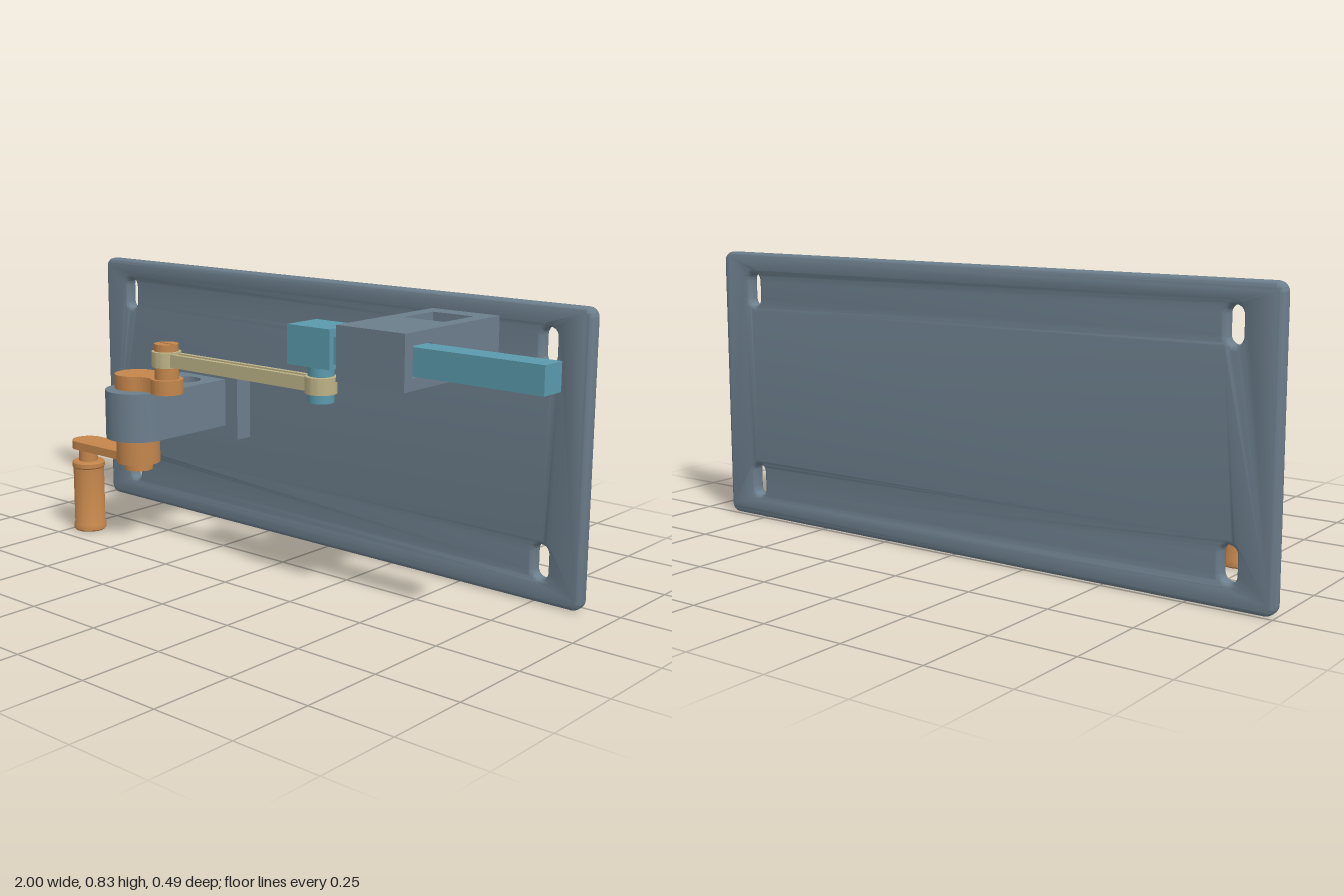
import * as THREE from 'three';
import { toCreasedNormals } from 'three/addons/utils/BufferGeometryUtils.js';

const mat = (color) => new THREE.MeshStandardMaterial({ color });
const steel = mat(0x6c7e8c), teal = mat(0x5a9aac), bronze = mat(0xc4864c), brass = mat(0xbdb287);

const AXIS_Z = 0.15;            // depth of the moving mechanism
const MAIN_X = -0.47, PIN_X = -0.335, WRIST_X = 0.275, GRIP_X = -0.71;

export function createModel() {
  const model = new THREE.Group();

  const add = (name, geometry, material) => {
    const mesh = new THREE.Mesh(geometry, material);
    mesh.name = name;
    model.add(mesh);
    return mesh;
  };
  const box = (name, [x0, x1], [y0, y1], [z0, z1], material) => add(name,
    new THREE.BoxGeometry(x1 - x0, y1 - y0, z1 - z0)
      .translate((x0 + x1) / 2, (y0 + y1) / 2, (z0 + z1) / 2), material);
  const rod = (name, x, y0, y1, r, material) => add(name,
    new THREE.CylinderGeometry(r, r, y1 - y0, 40).translate(x, (y0 + y1) / 2, AXIS_Z), material);
  const extrude = (shape, depth, extra = {}) => new THREE.ExtrudeGeometry(shape,
    { depth, bevelEnabled: false, curveSegments: 20, ...extra });
  // Outline drawn in x and z, raised from y0 to y1
  const flat = (name, shape, y0, y1, material) => add(name,
    toCreasedNormals(extrude(shape, y1 - y0).rotateX(Math.PI / 2).translate(0, y1, 0), 0.6), material);

  const rect = (x0, x1, y0, y1, Type = THREE.Shape) => {
    const s = new Type();
    s.moveTo(x0, y0).lineTo(x1, y0).lineTo(x1, y1).lineTo(x0, y1).closePath();
    return s;
  };
  // Two round ends joined by tangents, or by a narrowed waist
  const link = (xa, ra, xb, rb, waist) => {
    const a = waist ? 0.75 : Math.acos((ra - rb) / (xb - xa));
    const b = waist ? Math.PI - 0.75 : a;
    const s = new THREE.Shape();
    s.absarc(xa, AXIS_Z, ra, a, 2 * Math.PI - a, false);
    if (waist) {
      s.quadraticCurveTo((xa + xb) / 2, AXIS_Z - waist,
        xb + rb * Math.cos(b), AXIS_Z - rb * Math.sin(b));
    }
    s.absarc(xb, AXIS_Z, rb, -b, b, false);
    if (waist) {
      s.quadraticCurveTo((xa + xb) / 2, AXIS_Z + waist,
        xa + ra * Math.cos(a), AXIS_Z + ra * Math.sin(a));
    }
    return s;
  };

  // Back plate with rounded edges and four mounting slots
  const e = 0.014, x0 = -1 + e, x1 = 0.9 - e, y0 = e, y1 = 0.835 - e, r = 0.015;
  const plate = new THREE.Shape();
  plate.absarc(x1 - r, y0 + r, r, -Math.PI / 2, 0, false);
  plate.absarc(x1 - r, y1 - r, r, 0, Math.PI / 2, false);
  plate.absarc(x0 + r, y1 - r, r, Math.PI / 2, Math.PI, false);
  plate.absarc(x0 + r, y0 + r, r, Math.PI, Math.PI * 1.5, false);
  for (const x of [-0.872, 0.772]) {
    for (const y of [0.118, 0.722]) {
      const slot = new THREE.Path(), sr = 0.023 + e;
      slot.absarc(x, y + 0.027, sr, 0, Math.PI, false);
      slot.absarc(x, y - 0.027, sr, Math.PI, Math.PI * 2, false);
      slot.closePath();
      plate.holes.push(slot);
    }
  }
  // Slots are drawn oversize because the bevel closes them in again
  const plateGeometry = extrude(plate, 0.046 - 2 * e, {
    bevelEnabled: true, bevelThickness: e, bevelSize: e, bevelSegments: 4, curveSegments: 8,
  });
  add('backPlate', toCreasedNormals(plateGeometry.translate(0, 0, -0.246 + e), 0.6), steel);

  // Crank bearing: foot and round-nosed arm with a vertical hole
  box('bearingFoot', [-0.62, -0.32], [0.305, 0.535], [-0.205, -0.14], steel);
  const arm = new THREE.Shape();
  arm.moveTo(MAIN_X - 0.098, -0.145).lineTo(MAIN_X + 0.098, -0.145);
  arm.lineTo(MAIN_X + 0.098, AXIS_Z);
  arm.absarc(MAIN_X, AXIS_Z, 0.098, 0, Math.PI, false);
  arm.closePath();
  const armHole = new THREE.Path();
  armHole.absarc(MAIN_X, -0.053, 0.053, 0, Math.PI * 2, true);
  arm.holes.push(armHole);
  flat('bearingArm', arm, 0.345, 0.495, steel);

  // Slider guide: bracket with a square window, then a block with a sliding channel
  const bracket = rect(0.39, 0.615, -0.205, 0.06);
  bracket.holes.push(rect(0.435, 0.57, -0.14, -0.003, THREE.Path));
  flat('guideBracket', bracket, 0.637, 0.789, steel);
  const block = rect(-0.226, -0.06, 0.637, 0.789);
  block.holes.push(rect(-0.192, -0.108, 0.67, 0.754, THREE.Path));
  add('guideBlock', extrude(block, 0.225).rotateY(Math.PI / 2).translate(0.39, 0, 0), steel);

  // Slider with its square rod and wrist pin
  box('sliderHead', [0.2, 0.35], [0.66, 0.77], [0.083, 0.205], teal);
  box('sliderRod', [0.35, 1], [0.674, 0.75], [0.112, 0.188], teal);
  rod('wristPin', WRIST_X, 0.565, 0.665, 0.029, teal);
  rod('wristPinShoulder', WRIST_X, 0.63, 0.661, 0.037, teal);
  rod('wristPinCap', WRIST_X, 0.556, 0.579, 0.037, teal);

  // Connecting rod: two eyes, a web and rails that leave a groove above and below
  for (const x of [PIN_X, WRIST_X]) {
    const eye = new THREE.Shape();
    eye.absarc(x, AXIS_Z, 0.045, 0, Math.PI * 2, false);
    const bore = new THREE.Path();
    bore.absarc(x, AXIS_Z, 0.03, 0, Math.PI * 2, true);
    eye.holes.push(bore);
    flat('connectingRodEye', eye, 0.581, 0.628, brass);
  }
  const span = [PIN_X + 0.037, WRIST_X - 0.037];
  box('connectingRodWeb', span, [0.597, 0.612], [AXIS_Z - 0.015, AXIS_Z + 0.015], brass);
  for (const s of [-1, 1]) {
    const z = AXIS_Z + s * 0.016;
    box('connectingRodRail', span, [0.585, 0.624], [z - 0.007, z + 0.007], brass);
  }

  // Upper crank with its pin and slotted pin head
  flat('upperCrank', link(MAIN_X, 0.068, PIN_X, 0.05, 0.033), 0.499, 0.544, bronze);
  rod('crankPinShoulder', PIN_X, 0.54, 0.58, 0.037, bronze);
  rod('crankPin', PIN_X, 0.57, 0.64, 0.029, bronze);
  rod('crankPinHead', PIN_X, 0.629, 0.642, 0.037, bronze);
  const cap = new THREE.Shape();
  cap.absarc(PIN_X, AXIS_Z, 0.037, 0, Math.PI * 2, false);
  cap.holes.push(rect(PIN_X - 0.03, PIN_X + 0.03, AXIS_Z - 0.005, AXIS_Z + 0.005, THREE.Path));
  flat('crankPinSlot', cap, 0.642, 0.651, bronze);

  // Main shaft and lower hub
  rod('mainShaft', MAIN_X, 0.33, 0.51, 0.05, bronze);
  rod('lowerHub', MAIN_X, 0.265, 0.34, 0.068, bronze);
  rod('lowerHubCap', MAIN_X, 0.242, 0.266, 0.045, bronze);

  // Hand crank and grip
  flat('handCrankArm', link(GRIP_X, 0.05, MAIN_X, 0.0501), 0.271, 0.297, bronze);
  rod('gripSpindle', GRIP_X, 0.2, 0.275, 0.03, bronze);
  const profile = [[0, 0], [0.048, 0], [0.052, 0.004], [0.052, 0.02], [0.049, 0.025],
    [0.049, 0.207], [0.052, 0.211], [0.052, 0.224], [0.048, 0.229], [0, 0.229]];
  const grip = new THREE.LatheGeometry(profile.map((p) => new THREE.Vector2(...p)), 40);
  add('grip', toCreasedNormals(grip.translate(GRIP_X, 0, AXIS_Z), 0.6), bronze);

  return model;
}
